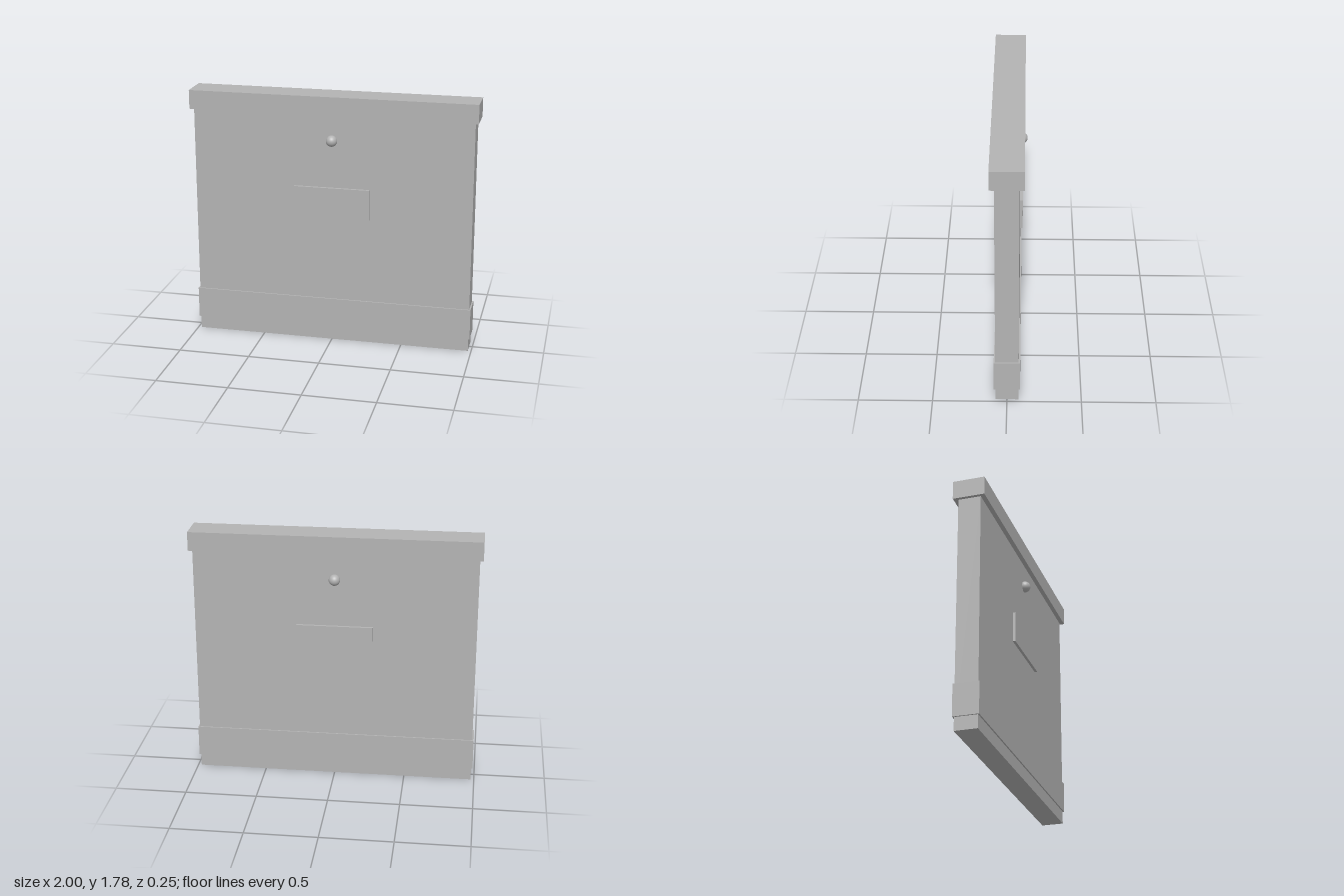
import * as THREE from 'three';

export function createModel() {
  const group = new THREE.Group();
  const grey = new THREE.MeshStandardMaterial({ color: 0xb3b3b3 });
  grey.name = 'grey';

  const add = (name, geometry, x, y, z) => {
    const mesh = new THREE.Mesh(geometry, grey);
    mesh.name = name;
    mesh.position.set(x, y, z);
    group.add(mesh);
  };
  // Box centred on x and z, spanning y0 to y1
  const slab = (name, width, y0, y1, depth, z = 0) =>
    add(name, new THREE.BoxGeometry(width, y1 - y0, depth), 0, (y0 + y1) / 2, z);

  slab('panel', 1.954, 0, 1.65, 0.156);
  slab('topCap', 2, 1.648, 1.78, 0.22);
  slab('lowerBand', 1.974, 0.092, 0.312, 0.176);

  // Raised plate and round knob on both faces
  for (const [side, s] of [['front', 1], ['back', -1]]) {
    slab(side + 'Plate', 0.53, 0.915, 1.135, 0.03, s * 0.082);
    add(side + 'Knob', new THREE.SphereGeometry(0.039, 32, 20), 0, 1.47, s * 0.088);
  }
  return group;
}
